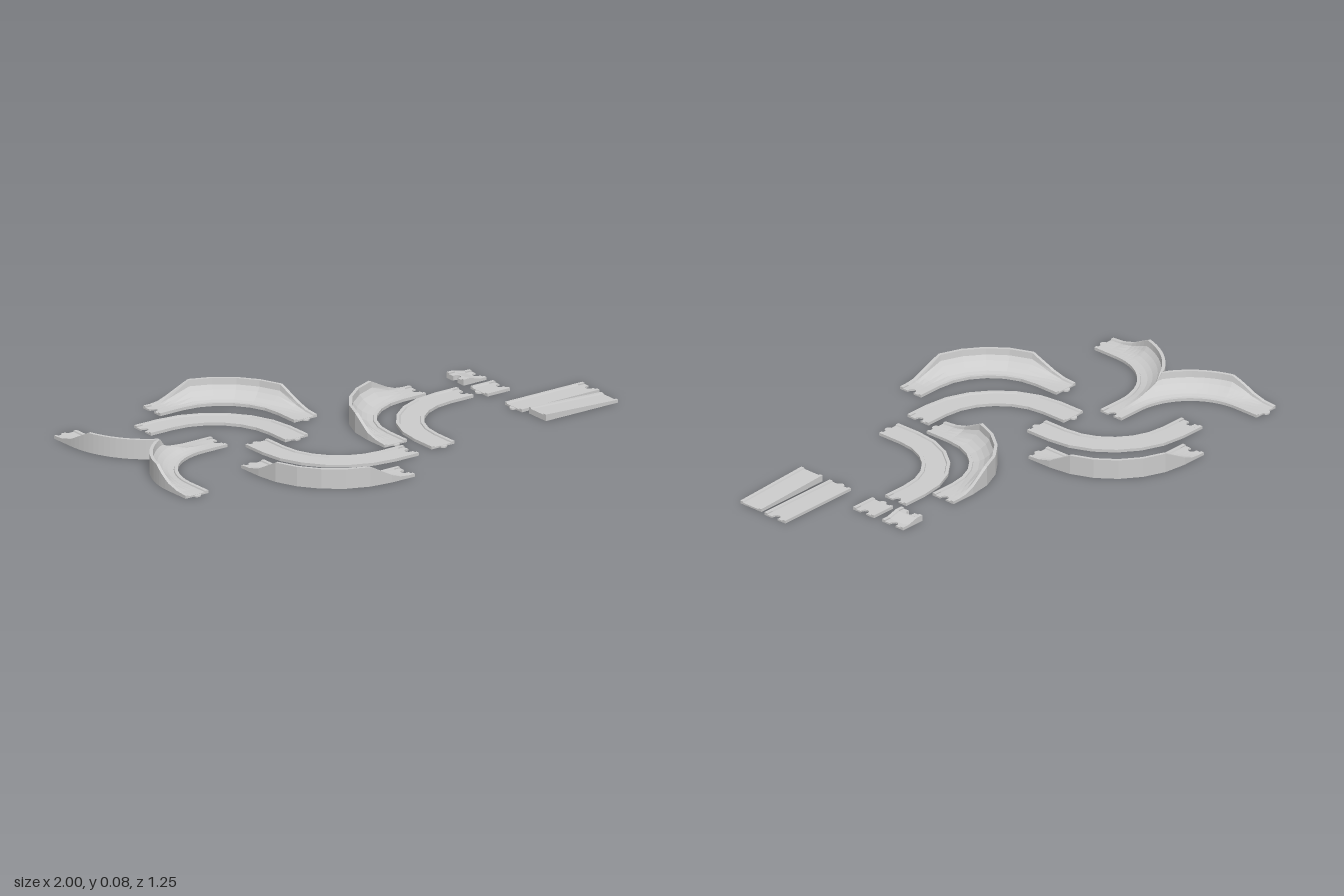
import * as THREE from 'three';

const W = 0.11, R_IN = 0.26, R_MID = 0.315, END = 0.11, TILE = 0.03;
const FLOOR = 0.007, RAIL = 0.012;
const material = new THREE.MeshStandardMaterial({ color: 0xcccccc, flatShading: true });

// Cross-section from inner to outer edge: [offset, flat height, banked height]
const PROFILE = [
  [0, RAIL, RAIL], [0.014, RAIL, RAIL], [0.016, FLOOR, FLOOR], [0.04, FLOOR, 0.012],
  [0.06, FLOOR, 0.022], [0.08, FLOOR, 0.038], [0.094, FLOOR, 0.055], [0.097, RAIL, 0.08], [W, RAIL, 0.08],
];

// Profile height at offset v, with bank amount k from 0 to 1
function heightAt(v, k) {
  const y = (p) => p[1] + (p[2] - p[1]) * k;
  for (let i = 1; i < PROFILE.length; i++) {
    const a = PROFILE[i - 1], b = PROFILE[i];
    if (v <= b[0] + 1e-6) return y(a) + (y(b) - y(a)) * (v - a[0]) / (b[0] - a[0]);
  }
  return y(PROFILE[PROFILE.length - 1]);
}

function addMesh(group, geometry, name) {
  const mesh = new THREE.Mesh(geometry, material);
  mesh.name = name;
  group.add(mesh);
  return mesh;
}

// Solid with a flat underside, from rows of top points
function solid(rows) {
  const pos = [], n = rows[0].length - 1, last = rows.length - 1;
  const T = (i, j) => rows[i][j];
  const B = (i, j) => new THREE.Vector3(rows[i][j].x, 0, rows[i][j].z);
  const tri = (a, b, c) => {
    if (new THREE.Triangle(a, b, c).getArea() > 1e-9) for (const p of [a, b, c]) pos.push(p.x, p.y, p.z);
  };
  const quad = (a, b, c, d) => { tri(a, b, c); tri(a, c, d); };
  for (let i = 0; i < last; i++) {
    for (let j = 0; j < n; j++) {
      quad(T(i, j), T(i + 1, j), T(i + 1, j + 1), T(i, j + 1));
      quad(B(i, j + 1), B(i + 1, j + 1), B(i + 1, j), B(i, j));
    }
    quad(B(i, 0), B(i + 1, 0), T(i + 1, 0), T(i, 0));
    quad(T(i, n), T(i + 1, n), B(i + 1, n), B(i, n));
  }
  for (let j = 0; j < n; j++) {
    quad(T(0, j), T(0, j + 1), B(0, j + 1), B(0, j));
    quad(B(last, j), B(last, j + 1), T(last, j + 1), T(last, j));
  }
  const g = new THREE.BufferGeometry();
  g.setAttribute('position', new THREE.Float32BufferAttribute(pos, 3));
  g.computeVertexNormals();
  return g;
}

// Connector at a track end: a notched tile, or a round tab; local +x points out of the track
function addConnector(group, x, z, angle, female, lift = 0) {
  const end = new THREE.Group();
  end.name = female ? 'notchedEnd' : 'tabEnd';
  end.position.set(x, 0, z);
  end.rotation.y = angle;
  if (female) {
    const s = new THREE.Shape();
    s.moveTo(-TILE, -W / 2);
    s.lineTo(0, -W / 2);
    s.lineTo(0, -0.014);
    s.absarc(-0.008, 0, 0.016, -Math.PI / 3, -Math.PI * 5 / 3, true);
    s.lineTo(0, 0.014);
    s.lineTo(0, W / 2);
    s.lineTo(-TILE, W / 2);
    const plate = new THREE.ExtrudeGeometry(s, { depth: FLOOR + lift, bevelEnabled: false, curveSegments: 8 });
    addMesh(end, plate.rotateX(-Math.PI / 2), 'notchedPlate');
    for (const side of [-1, 1]) {
      const rail = addMesh(end, new THREE.BoxGeometry(TILE, RAIL + lift, 0.015), 'endRail');
      rail.position.set(-TILE / 2, (RAIL + lift) / 2, side * (W / 2 - 0.0075));
    }
  } else {
    const tab = addMesh(end, new THREE.CylinderGeometry(0.016, 0.016, 0.006, 12), 'tab');
    tab.position.y = 0.003;
  }
  group.add(end);
}

// Quarter-turn track round the given arc centre; swap exchanges the notched and tab ends,
// half trims it along the shared centreline of a junction
function curve(name, cx, cz, { turn = 0, swap = false, banked = false, half = false, notch = true }) {
  const group = new THREE.Group();
  group.name = name;
  const stations = [];
  const startLen = swap ? END : END - TILE, endLen = swap ? END - TILE : END;
  const steps = half ? 24 : 6;
  const rise = (f) => Math.min(1, 0.27 + 0.73 * f * 6);
  stations.push([0, startLen, 0], [0, startLen / 2, 0.06]);
  for (let i = 0; i <= steps; i++) {
    const f = i / steps;
    stations.push([f * Math.PI / 2, 0, rise(Math.min(f, 1 - f))]);
  }
  stations.push([Math.PI / 2, endLen / 2, 0.06], [Math.PI / 2, endLen, 0]);
  const rows = stations.map(([a, run, k], i) => {
    const back = i < 2 ? -run : run;
    const shared = swap ? Math.sin(a) : Math.cos(a);
    const limit = half && shared > 0.01 ? R_MID / shared - R_IN : W;
    return PROFILE.map(([v0]) => {
      const v = Math.min(v0, limit), r = R_IN + v;
      return new THREE.Vector3(
        Math.sin(a) * r + Math.cos(a) * back,
        heightAt(v, banked ? k : 0),
        -Math.cos(a) * r + Math.sin(a) * back);
    });
  });
  addMesh(group, solid(rows), banked ? 'bankedTrack' : 'flatTrack');
  if (!swap || notch) addConnector(group, -END, -R_MID, Math.PI, !swap);
  if (swap || notch || half) {
    if (!(swap && !notch)) addConnector(group, R_MID, END, -Math.PI / 2, swap);
    else addConnector(group, -END, -R_MID, Math.PI, false);
  }
  group.position.set(cx, 0, cz);
  group.rotation.y = turn;
  return group;
}

// Straight track; ends are 'notch', 'tab' or 'plain', lift raises the left end into a ramp
function straight(name, x0, x1, z, left, right, lift = 0) {
  const group = new THREE.Group();
  group.name = name;
  const a = left === 'notch' ? x0 + TILE : x0, b = right === 'notch' ? x1 - TILE : x1;
  const rows = [[a, lift], [b, 0]].map(([x, up]) =>
    PROFILE.map(([v]) => new THREE.Vector3(x, heightAt(v, 0) + up, W / 2 - v)));
  addMesh(group, solid(rows), 'straightTrack');
  if (left !== 'plain') addConnector(group, x0, 0, Math.PI, left === 'notch', lift);
  if (right !== 'plain') addConnector(group, x1, 0, 0, right === 'notch');
  group.position.z = z;
  return group;
}

export function createModel() {
  const model = new THREE.Group();
  model.name = 'trackSet';
  const PI = Math.PI;
  model.add(
    // Banked and flat quarter turns
    curve('backBankedCurve', -0.41, -0.255, { banked: true }),
    curve('backFlatCurve', -0.57, -0.1, {}),
    curve('frontBankedCurve', -0.25, 0.25, { turn: PI, banked: true }),
    curve('frontFlatCurve', -0.095, 0.07, { turn: PI }),
    curve('leftBankedCurve', 0.33, 0.18, { turn: PI / 2, swap: true, banked: true }),
    curve('leftFlatCurve', 0.465, 0.305, { turn: PI / 2, swap: true }),
    // Forked junction from two trimmed banked curves
    curve('junctionBackBranch', -0.63, -0.452, { turn: PI, banked: true, half: true }),
    curve('junctionFrontBranch', -0.63, 0.178, { turn: PI / 2, swap: true, banked: true, half: true, notch: false }),
    // Straight pieces and ramps
    straight('shortRamp', 0.625, 0.735, -0.14, 'notch', 'notch', 0.013),
    straight('shortStraight', 0.625, 0.735, 0.013, 'tab', 'notch'),
    straight('longStraight', 0.625, 1, 0.235, 'tab', 'notch'),
    straight('longRamp', 0.64, 0.99, 0.37, 'plain', 'plain', 0.015),
  );
  return model;
}
